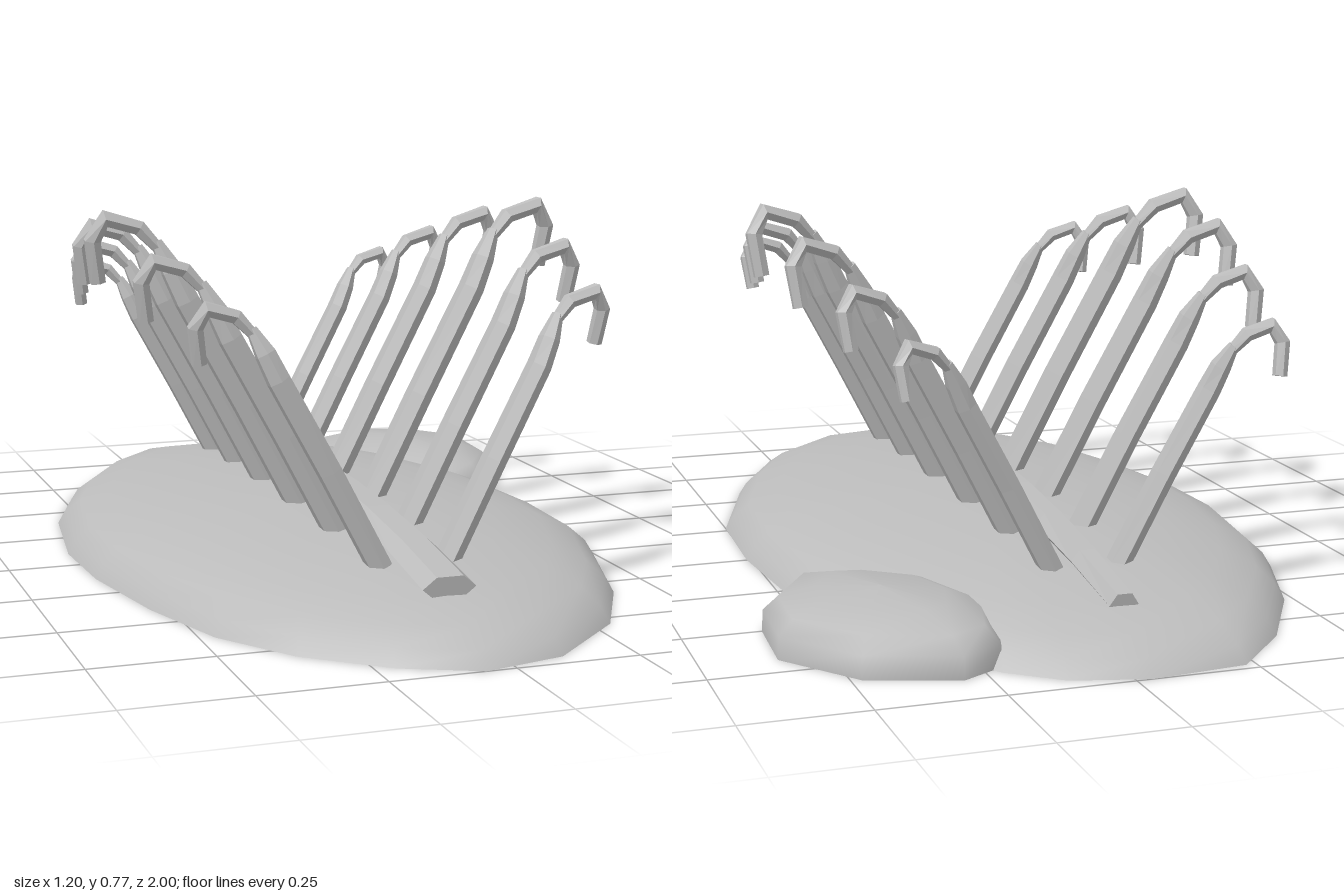
import * as THREE from 'three';

const stone = new THREE.MeshStandardMaterial({ color: 0xbcbcbc });
stone.name = 'grey stone';
const carved = new THREE.MeshStandardMaterial({ color: 0xbcbcbc, flatShading: true });
carved.name = 'grey bone';

const MID = -0.05; // x of the spine

function build(pos, idx, mat, name) {
  const g = new THREE.BufferGeometry();
  g.setAttribute('position', new THREE.Float32BufferAttribute(pos, 3));
  g.setIndex(idx);
  g.computeVertexNormals();
  const m = new THREE.Mesh(g, mat);
  m.name = name;
  return m;
}

// Domed mound: the ground outline shrinks towards its centre as it rises
function mound(outline, cx, cz, profile, name) {
  const pos = [], idx = [], n = outline.length;
  for (const [s, y] of profile) {
    for (const [x, z] of outline) pos.push(cx + (x - cx) * s, y, cz + (z - cz) * s);
  }
  for (let r = 0; r < profile.length - 1; r++) {
    for (let k = 0; k < n; k++) {
      const a = r * n + k, b = r * n + (k + 1) % n;
      idx.push(b, a, a + n);
      if (r < profile.length - 2) idx.push(b, a + n, b + n);
    }
  }
  // flat underside with its own vertices
  const base = pos.length / 3;
  for (const [x, z] of outline) pos.push(x, 0, z);
  pos.push(cx, 0, cz);
  for (let k = 0; k < n; k++) idx.push(base + n, base + k, base + (k + 1) % n);
  return build(pos, idx, stone, name);
}

// Faceted bar swept along stations { p, a, b }; b is the half size along ref, a across it
function sweep(stations, ref, sides, name) {
  const pos = [], idx = [], n = stations.length;
  stations.forEach((s, i) => {
    const t = stations[Math.min(i + 1, n - 1)].p.clone().sub(stations[Math.max(i - 1, 0)].p).normalize();
    const u = ref.clone().addScaledVector(t, -ref.dot(t)).normalize();
    const v = t.clone().cross(u);
    for (let k = 0; k < sides; k++) {
      const q = k / sides * Math.PI * 2;
      const c = s.p.clone().addScaledVector(u, s.b * Math.cos(q)).addScaledVector(v, s.a * Math.sin(q));
      pos.push(c.x, c.y, c.z);
    }
  });
  for (let i = 0; i < n - 1; i++) {
    for (let k = 0; k < sides; k++) {
      const a = i * sides + k, b = i * sides + (k + 1) % sides;
      idx.push(a, b, b + sides, a, b + sides, a + sides);
    }
  }
  const last = (n - 1) * sides;
  for (let k = 1; k < sides - 1; k++) idx.push(0, k + 1, k, last, last + k, last + k + 1);
  return build(pos, idx, carved, name);
}

export function createModel() {
  const group = new THREE.Group();
  group.name = 'ribbedMound';

  // Large oval mound
  group.add(mound([
    [-0.03, -1], [0.12, -0.96], [0.22, -0.88], [0.36, -0.68], [0.48, -0.33], [0.51, 0], [0.5, 0.27],
    [0.4, 0.58], [0.29, 0.79], [0.11, 0.96], [-0.06, 1], [-0.21, 0.93], [-0.36, 0.8], [-0.47, 0.63],
    [-0.54, 0.4], [-0.59, 0.13], [-0.6, -0.1], [-0.56, -0.4], [-0.48, -0.63], [-0.36, -0.84], [-0.23, -0.98],
  ], MID, 0, [[1, 0], [0.97, 0.03], [0.91, 0.06], [0.8, 0.085], [0.62, 0.11], [0.35, 0.13], [0, 0.138]], 'mainMound'));

  // Small lobe at the back left
  group.add(mound([
    [0.21, -0.85], [0.3, -0.9], [0.48, -0.84], [0.6, -0.68], [0.59, -0.5], [0.49, -0.34],
    [0.38, -0.36], [0.22, -0.48], [0.16, -0.66],
  ], 0.38, -0.62, [[1, 0], [0.99, 0.045], [0.86, 0.075], [0.55, 0.1], [0, 0.11]], 'sideMound'));

  // Arched, tapering spine
  const spine = [];
  for (let i = 0; i <= 8; i++) {
    const f = i / 8, arch = 1 - (2 * f - 1) ** 2;
    spine.push({
      p: new THREE.Vector3(MID, 0.102 - 0.018 * f + 0.073 * arch, 0.79 - 1.6 * f),
      a: 0.027, b: 0.055 - 0.025 * f,
    });
  }
  group.add(sweep(spine, new THREE.Vector3(1, 0, 0), 6, 'spine'));

  // Rib path: outward, up, back, then half thickness and half width
  const bone = [
    [0.07, 0, 0, 0.029, 0.035], [0.2, 0.25, -0.006, 0.029, 0.034], [0.325, 0.48, -0.015, 0.028, 0.032],
    [0.355, 0.545, -0.022, 0.025, 0.027], [0.385, 0.605, -0.035, 0.013, 0.014],
  ];
  const hook = [
    [0.375, 0.585, -0.032, 0.012, 0.014], [0.42, 0.635, -0.04, 0.018, 0.02], [0.492, 0.657, -0.042, 0.02, 0.021],
    [0.518, 0.61, -0.053, 0.019, 0.019], [0.505, 0.52, -0.065, 0.018, 0.018],
  ];
  const zs = [0.595, 0.35, 0.11, -0.135, -0.37, -0.6];
  const scales = [0.8, 0.9, 1, 0.94, 0.84, 0.73];
  const zAxis = new THREE.Vector3(0, 0, 1);
  zs.forEach((z, i) => {
    const s = scales[i];
    for (const side of [1, -1]) {
      const place = rows => rows.map(([x, y, dz, a, b]) => ({
        p: new THREE.Vector3(MID + side * (0.07 + (x - 0.07) * (s * 1.0)), 0.1 + y * s, z + dz),
        a: a * (0.4 + 0.6 * s), b: b * (0.4 + 0.6 * s),
      }));
      const rib = new THREE.Group();
      rib.name = (side > 0 ? 'leftRib' : 'rightRib') + (i + 1);
      rib.add(sweep(place(bone), zAxis, 6, 'ribBone'), sweep(place(hook), zAxis, 6, 'ribHook'));
      group.add(rib);
    }
  });
  return group;
}
